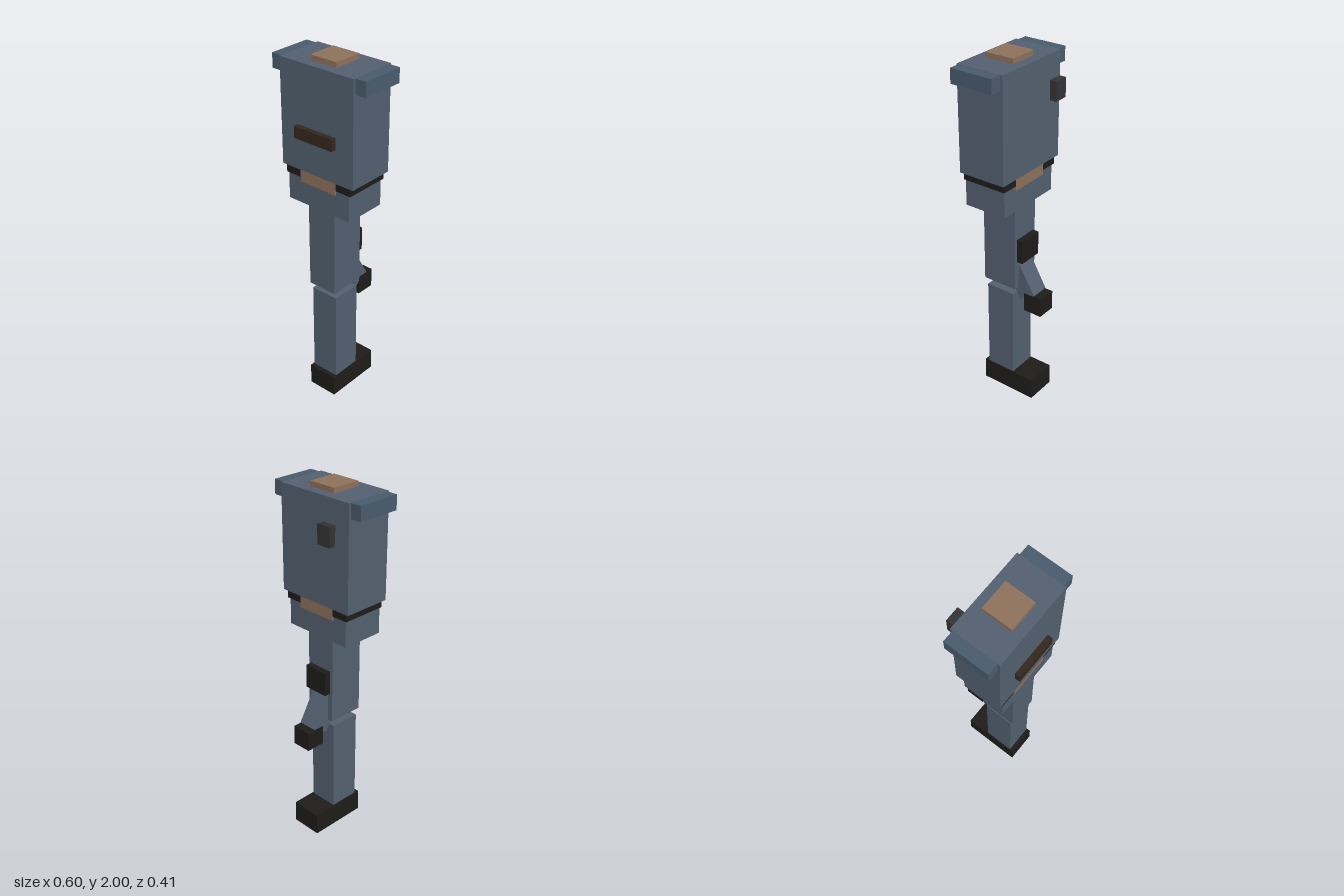
import * as THREE from 'three';

const mat = (color) => new THREE.MeshStandardMaterial({ color, flatShading: true });

export function createModel() {
  const group = new THREE.Group();
  const cloth = mat(0x525f6f);
  const pad = mat(0x485b6c);
  const skin = mat(0x8d705a);
  const leather = mat(0x1e1c19);
  const brown = mat(0x33271e);
  const metal = mat(0x333333);

  // Box given by its extents on each axis
  function box(name, material, [x0, x1], [y0, y1], [z0, z1]) {
    const mesh = new THREE.Mesh(new THREE.BoxGeometry(x1 - x0, y1 - y0, z1 - z0), material);
    mesh.position.set((x0 + x1) / 2, (y0 + y1) / 2, (z0 + z1) / 2);
    mesh.name = name;
    group.add(mesh);
    return mesh;
  }
  const sym = (w) => [-w, w];

  // Upper body
  box('neck', skin, sym(0.083), [1.93, 2.0], [-0.044, 0.122]);
  box('torso', cloth, sym(0.235), [1.395, 1.972], [-0.098, 0.178]);
  for (const [side, s] of [['left', 1], ['right', -1]]) {
    const xs = [s * 0.2, s * 0.298].sort((a, b) => a - b);
    box(`${side}ShoulderPad`, pad, xs, [1.892, 1.971], [-0.084, 0.165]);
  }
  box('chestStrap', brown, sym(0.124), [1.58, 1.645], [0.16, 0.207]);
  box('backPouch', metal, [-0.181, -0.099], [1.755, 1.86], [-0.173, -0.134]);

  // Waist
  box('belt', leather, sym(0.214), [1.35, 1.397], [-0.088, 0.172]);
  box('waist', skin, sym(0.117), [1.325, 1.396], [-0.0885, 0.1735]);
  box('hips', cloth, sym(0.204), [1.2, 1.352], [-0.08, 0.168]);

  // Standing leg
  box('thigh', cloth, sym(0.088), [0.7, 1.2], [-0.059, 0.148]);
  box('shin', cloth, sym(0.083), [0.122, 0.66], [-0.042, 0.132]);
  box('boot', leather, sym(0.089), [0, 0.125], [-0.178, 0.156]);

  // Small bent limb behind the thigh, tilted 30 degrees
  const limb = new THREE.Mesh(new THREE.BoxGeometry(0.108, 0.32, 0.105), cloth);
  limb.name = 'bentLimb';
  limb.rotation.x = Math.PI / 6;
  limb.position.set(0, 0.651 + 0.16 * Math.cos(Math.PI / 6), -0.116 + 0.16 * Math.sin(Math.PI / 6));
  group.add(limb);
  box('bentLimbEnd', leather, sym(0.055), [0.562, 0.673], [-0.207, -0.096]);
  box('thighPouch', leather, sym(0.072), [0.868, 1.003], [-0.096, -0.05]);

  return group;
}
